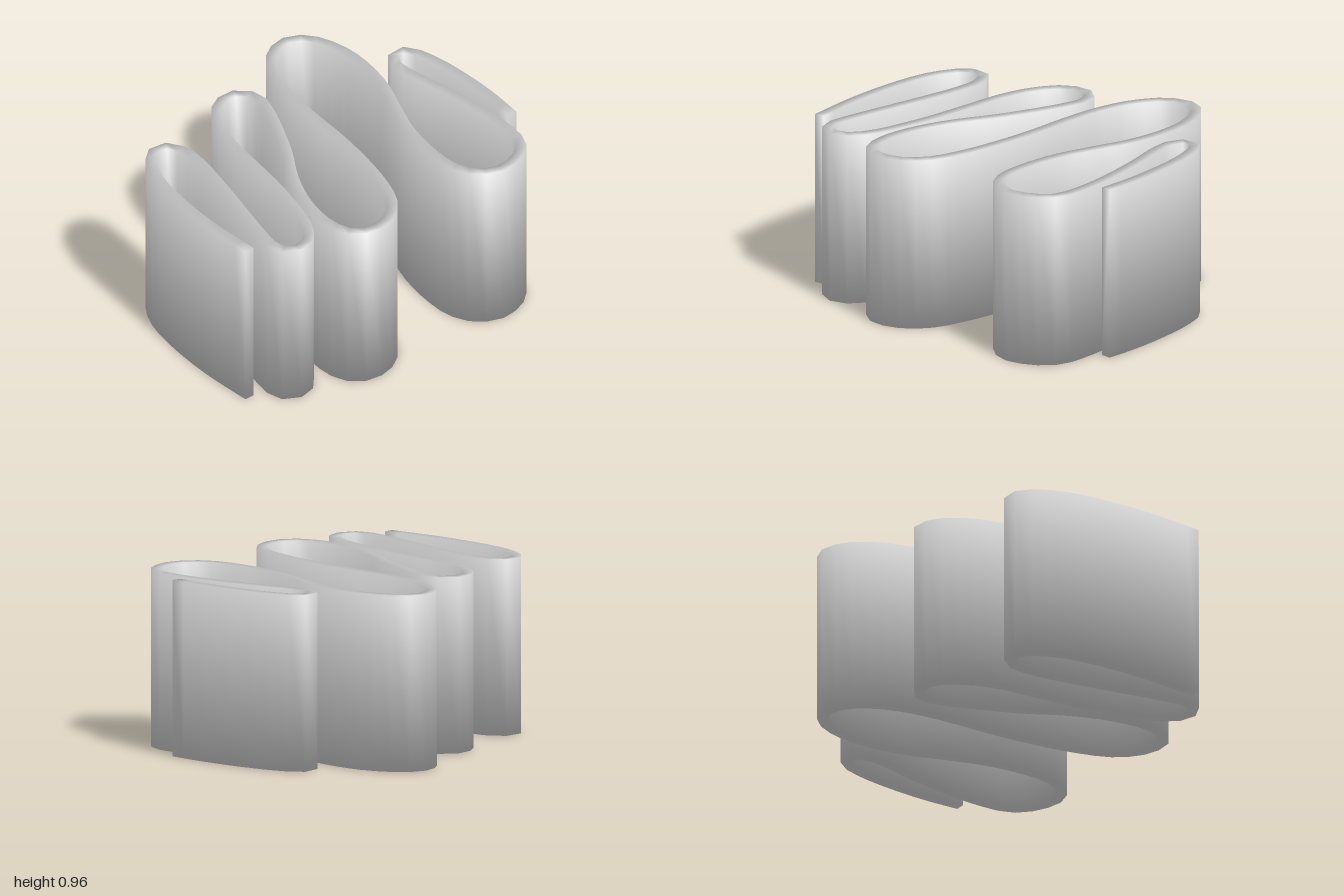
import * as THREE from 'three';

// Plan of the folded strip: x, z pairs along its centre line
const PLAN = [
  -0.925, 0.655, -0.963, 0.35, -0.97, 0.05, -0.945, -0.19, -0.888, -0.337, -0.83, -0.405,
  -0.77, -0.42, -0.71, -0.39, -0.676, -0.29, -0.675, -0.18, -0.70, 0.03, -0.743, 0.30,
  -0.788, 0.59, -0.793, 0.69, -0.76, 0.76, -0.695, 0.782, -0.615, 0.755, -0.54, 0.635,
  -0.472, 0.29, -0.449, 0, -0.433, -0.24, -0.385, -0.43, -0.295, -0.57, -0.193, -0.615,
  -0.112, -0.59, -0.072, -0.505, -0.096, -0.374, -0.16, -0.187, -0.235, 0, -0.342, 0.214,
  -0.412, 0.428, -0.433, 0.64, -0.396, 0.79, -0.32, 0.85, -0.235, 0.857, -0.128, 0.815,
  -0.032, 0.705, 0.032, 0.48, 0.064, 0.214, 0.073, 0, 0.07, -0.214, 0.086, -0.48,
  0.14, -0.68, 0.235, -0.82, 0.358, -0.87, 0.46, -0.825, 0.545, -0.67, 0.572, -0.48,
  0.55, -0.24, 0.487, -0.027, 0.428, 0.187, 0.406, 0.40, 0.422, 0.605, 0.487, 0.72,
  0.61, 0.777, 0.755, 0.735, 0.85, 0.64, 0.868, 0.48, 0.845, 0.24, 0.79, -0.027,
  0.738, -0.214, 0.717, -0.345, 0.745, -0.422, 0.797, -0.45, 0.85, -0.417, 0.91, -0.267,
  0.952, -0.027, 0.968, 0.187, 0.966, 0.385,
];
const HEIGHT = 0.96, HALF = 0.0295, SEGMENTS = 140;

export function createModel() {
  const points = [];
  for (let i = 0; i < PLAN.length; i += 2) points.push(new THREE.Vector3(PLAN[i], 0, PLAN[i + 1]));
  const curve = new THREE.CatmullRomCurve3(points, false, 'centripetal');

  // Rectangular cross-section: [side, up] for each corner
  const corners = [[1, -1], [1, 1], [-1, 1], [-1, -1]];
  const positions = [], normals = [], indices = [];
  for (let i = 0; i <= SEGMENTS; i++) {
    const p = curve.getPointAt(i / SEGMENTS), t = curve.getTangentAt(i / SEGMENTS);
    const end = i === 0 ? -1 : i === SEGMENTS ? 1 : 0;
    for (const [side, up] of corners) {
      const nx = -t.z * side, nz = t.x * side;
      positions.push(p.x + nx * HALF, up > 0 ? HEIGHT : 0, p.z + nz * HALF);
      // Soft normals shared by the faces meeting at each corner
      const n = new THREE.Vector3(nx + t.x * end, up, nz + t.z * end).normalize();
      normals.push(n.x, n.y, n.z);
    }
    if (i === SEGMENTS) break;
    for (let j = 0; j < 4; j++) {
      const a = i * 4 + j, b = i * 4 + (j + 1) % 4;
      indices.push(a, a + 4, b, b, a + 4, b + 4);
    }
  }
  // End caps
  const e = SEGMENTS * 4;
  indices.push(0, 1, 2, 0, 2, 3, e, e + 2, e + 1, e, e + 3, e + 2);

  const geometry = new THREE.BufferGeometry();
  geometry.setAttribute('position', new THREE.Float32BufferAttribute(positions, 3));
  geometry.setAttribute('normal', new THREE.Float32BufferAttribute(normals, 3));
  geometry.setIndex(indices);

  const strip = new THREE.Mesh(geometry, new THREE.MeshStandardMaterial({ color: 0xcccccc }));
  strip.name = 'foldedStrip';
  const group = new THREE.Group();
  group.name = 'foldedRibbon';
  group.add(strip);
  return group;
}
